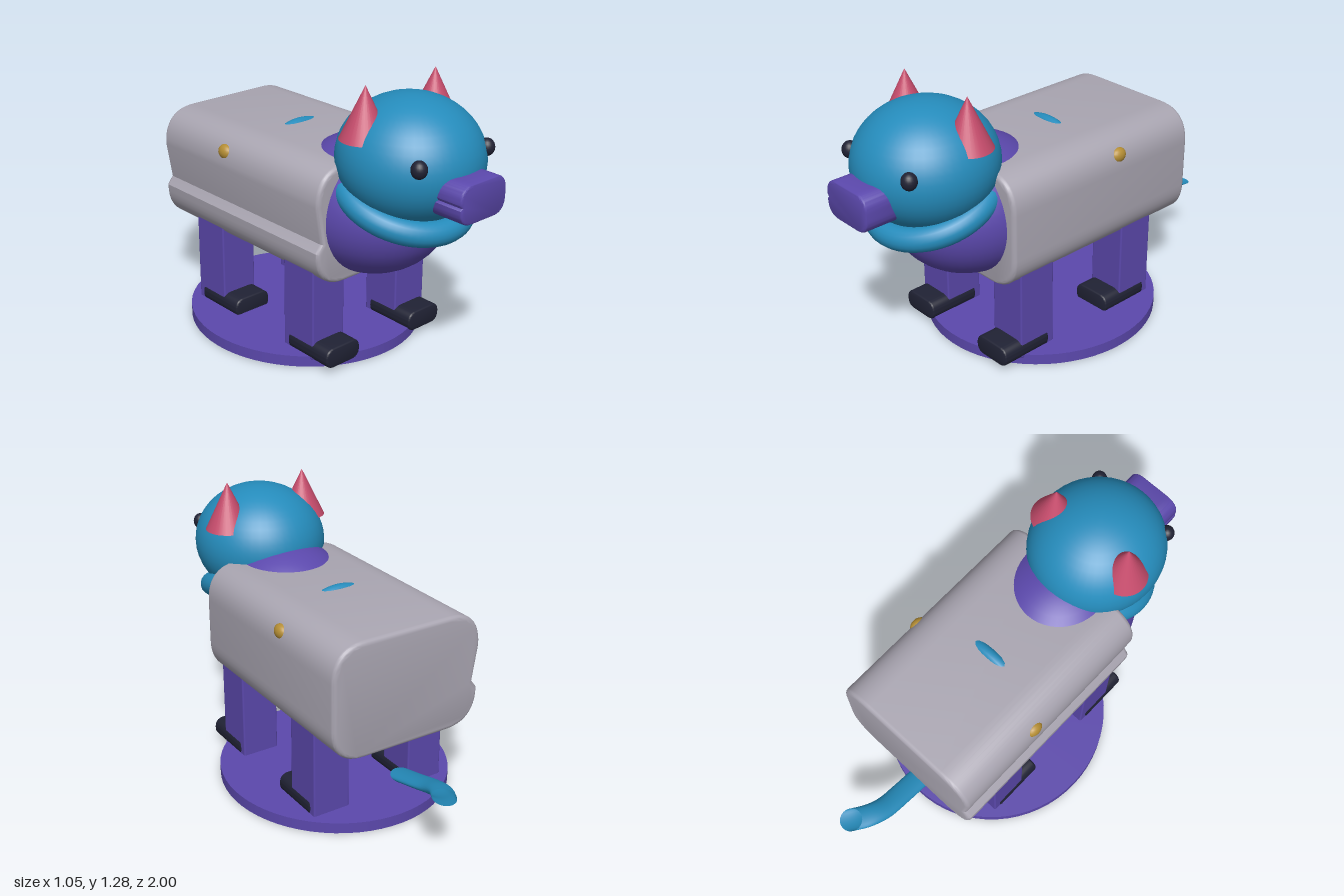
import * as THREE from 'three';
import { toCreasedNormals } from 'three/addons/utils/BufferGeometryUtils.js';
import { RoundedBoxGeometry } from 'three/addons/geometries/RoundedBoxGeometry.js';

const paint = (name, color) => Object.assign(new THREE.MeshStandardMaterial({ color }), { name });

export function createModel() {
  const model = new THREE.Group();
  model.name = 'toyAnimal';
  const blue = paint('blue', 0x258cbc);
  const purple = paint('purple', 0x5b48ac);
  const grey = paint('grey', 0xaaa6b2);
  const pink = paint('pink', 0xc64c6c);
  const dark = paint('dark', 0x202234);
  const gold = paint('gold', 0xb58e34);
  const tailBlue = paint('tailBlue', 0x258cbc);
  tailBlue.side = THREE.DoubleSide;

  function add(name, geometry, material, x = 0, y = 0, z = 0) {
    const mesh = new THREE.Mesh(geometry, material);
    mesh.name = name;
    mesh.position.set(x, y, z);
    model.add(mesh);
    return mesh;
  }
  const ellipsoid = (rx, ry, rz, n = 48) => new THREE.SphereGeometry(1, n, n / 2).scale(rx, ry, rz);

  // Bevelled block with a rounded section; notch pinches its -x side low down
  function block(w, h, d, r, bevel, notch = 0) {
    const x = w / 2 - bevel, y = h / 2 - bevel;
    const s = new THREE.Shape();
    s.moveTo(-x, -y + r);
    s.quadraticCurveTo(-x, -y, -x + r, -y);
    s.lineTo(x - r, -y);
    s.quadraticCurveTo(x, -y, x, -y + r);
    s.lineTo(x, y - r);
    s.quadraticCurveTo(x, y, x - r, y);
    s.lineTo(-x + r, y);
    s.quadraticCurveTo(-x, y, -x, y - r);
    if (notch) s.lineTo(-x + notch, -y + r + h * 0.07);
    const g = new THREE.ExtrudeGeometry(s, {
      depth: d - 2 * bevel, bevelThickness: bevel, bevelSize: bevel, bevelSegments: 4, curveSegments: 12,
    });
    g.translate(0, 0, bevel - d / 2);
    return toCreasedNormals(g, 0.6);
  }

  // Oval stand
  add('stand', new THREE.CylinderGeometry(1, 1, 0.05, 64).scale(0.525, 1, 0.548), purple, 0, 0.025, -0.047);

  // Body, chest and the hoop that breaks through the back and belly
  add('body', block(0.74, 0.53, 1.065, 0.14, 0.02, 0.028), grey, 0, 0.667, -0.078);
  add('chest', ellipsoid(0.335, 0.305, 0.365), purple, 0, 0.69, 0.38);
  add('bodyHoop', new THREE.TorusGeometry(0.25, 0.03, 16, 64), blue, 0, 0.665, -0.08);

  // Head, collar and snout
  add('head', ellipsoid(0.305, 0.27, 0.316), blue, 0, 0.95, 0.603);
  const collar = add('collar', new THREE.TorusGeometry(0.255, 0.055, 20, 64), blue, 0, 0.78, 0.573);
  collar.rotation.x = Math.PI / 2 + 0.36;
  add('snout', block(0.265, 0.168, 0.25, 0.06, 0.01, 0.01), purple, -0.002, 0.879, 0.875);

  // Paired parts
  for (const side of [-1, 1]) {
    const label = side > 0 ? 'left' : 'right';
    add(label + 'Ear', new THREE.ConeGeometry(0.105, 0.22, 32), pink, side * 0.2, 1.167, 0.54);
    add(label + 'Eye', ellipsoid(0.034, 0.038, 0.034, 24), dark, side * 0.196, 1.007, 0.835);
    add(label + 'Button', ellipsoid(0.03, 0.035, 0.042, 24), gold, side * 0.344, 0.84, -0.175);
    for (const [end, z] of [['Front', 0.295], ['Back', -0.32]]) {
      add(label + end + 'Leg', new RoundedBoxGeometry(0.18, 0.435, 0.19, 2, 0.008), purple, side * 0.249, 0.2525, z);
      add(label + end + 'Foot', block(0.192, 0.092, 0.255, 0.035, 0.01), dark, side * 0.249, 0.077, z + 0.064);
    }
  }

  // Tail: nearly level rings swept backwards along a curve
  const path = new THREE.CatmullRomCurve3([
    [0, 0.236, -0.585], [0, 0.262, -0.69], [0.003, 0.293, -0.8], [0.025, 0.322, -0.88], [0.062, 0.341, -0.947],
  ].map((p) => new THREE.Vector3(...p)));
  const rings = 24, sides = 24, points = [], faces = [];
  for (let i = 0; i <= rings; i++) {
    const c = path.getPoint(i / rings);
    for (let j = 0; j < sides; j++) {
      const a = (j / sides) * Math.PI * 2;
      points.push(c.x + 0.052 * Math.cos(a), c.y + 0.009 * Math.sin(a), c.z + 0.052 * Math.sin(a));
      if (i === rings) continue;
      const p = i * sides + j, q = i * sides + ((j + 1) % sides);
      faces.push(p, p + sides, q, q, p + sides, q + sides);
    }
  }
  const tail = new THREE.BufferGeometry();
  tail.setAttribute('position', new THREE.Float32BufferAttribute(points, 3));
  tail.setIndex(faces);
  tail.computeVertexNormals();
  add('tail', tail, tailBlue);

  return model;
}
